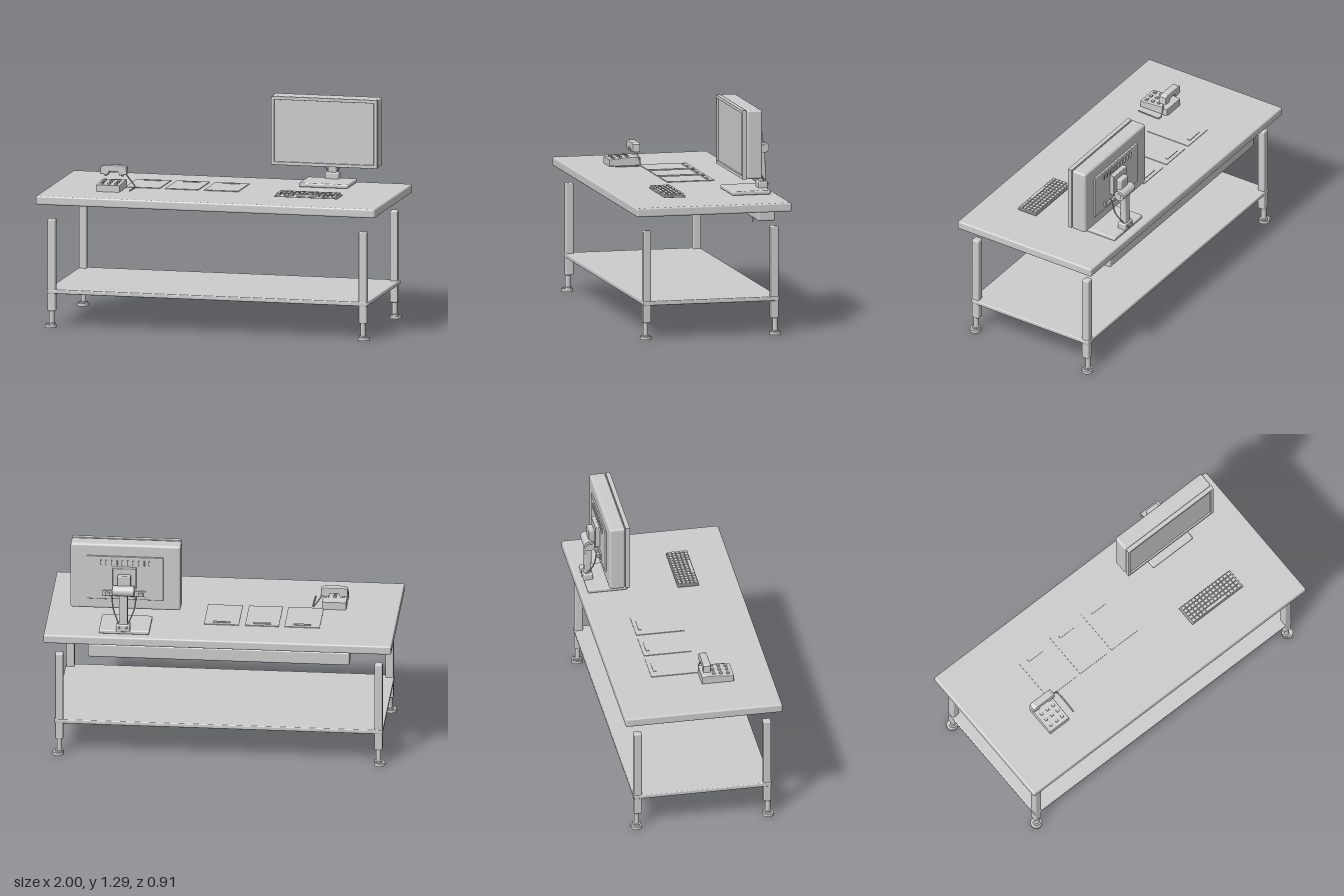
import * as THREE from 'three';
import { RoundedBoxGeometry } from 'three/addons/geometries/RoundedBoxGeometry.js';

export function createModel() {
  const model = new THREE.Group();
  const gray = new THREE.MeshStandardMaterial({ color: 0xcccccc });
  gray.name = 'lightGray';

  const group = (name) => {
    const g = new THREE.Group();
    g.name = name;
    model.add(g);
    return g;
  };
  const add = (parent, name, geometry, x = 0, y = 0, z = 0) => {
    const m = new THREE.Mesh(geometry, gray);
    m.name = name;
    m.position.set(x, y, z);
    parent.add(m);
    return m;
  };
  // Box given by its extents; r rounds the edges
  const box = (parent, name, x0, x1, y0, y1, z0, z1, r = 0) => {
    const s = [x1 - x0, y1 - y0, z1 - z0];
    const geo = r ? new RoundedBoxGeometry(...s, 3, r) : new THREE.BoxGeometry(...s);
    return add(parent, name, geo, (x0 + x1) / 2, (y0 + y1) / 2, (z0 + z1) / 2);
  };
  const tube = (parent, name, points, r) => {
    const curve = new THREE.CatmullRomCurve3(points.map((p) => new THREE.Vector3(...p)));
    return add(parent, name, new THREE.TubeGeometry(curve, 24, r, 6), 0, 0, 0);
  };
  const cylinder = (parent, name, r, h, x, y, z) =>
    add(parent, name, new THREE.CylinderGeometry(r, r, h, 24), x, y, z);

  // Table
  const table = group('table');
  box(table, 'tabletop', -1, 1, 0.72, 0.772, -0.457, 0.457, 0.01);
  box(table, 'shelf', -0.947, 0.943, 0.197, 0.222, -0.4, 0.403, 0.006);
  box(table, 'cableTray', -0.757, 0.746, 0.63, 0.71, -0.423, -0.323, 0.01);
  for (const x of [-0.921, 0.914]) {
    for (const z of [-0.374, 0.379]) {
      box(table, 'leg', x - 0.023, x + 0.023, 0.095, 0.63, z - 0.023, z + 0.023, 0.008);
      cylinder(table, 'legStem', 0.015, 0.2, x, 0.115, z + Math.sign(z) * 0.006);
      cylinder(table, 'footCollar', 0.024, 0.008, x, 0.022, z + Math.sign(z) * 0.006);
      cylinder(table, 'foot', 0.033, 0.018, x + Math.sign(x) * 0.006, 0.009, z + Math.sign(z) * 0.007);
    }
  }

  // Monitor: bezel with inset screen, thick casing
  const monitor = group('monitor');
  const rect = (path, x0, x1, y0, y1) =>
    path.moveTo(x0, y0).lineTo(x1, y0).lineTo(x1, y1).lineTo(x0, y1).closePath();
  const bezel = rect(new THREE.Shape(), 0.228, 0.85, 0.896, 1.29);
  bezel.holes.push(rect(new THREE.Path(), 0.243, 0.835, 0.911, 1.275));
  add(monitor, 'bezel', new THREE.ExtrudeGeometry(bezel, {
    depth: 0.022, bevelThickness: 0.002, bevelSize: 0.002, bevelSegments: 2,
  }), 0, 0, -0.226);
  box(monitor, 'screen', 0.24, 0.838, 0.908, 1.278, -0.226, -0.212);
  box(monitor, 'casing', 0.222, 0.855, 0.892, 1.293, -0.322, -0.23, 0.014);
  box(monitor, 'backPanel', 0.32, 0.76, 0.955, 1.222, -0.331, -0.315, 0.004);
  for (let i = 0; i < 10; i++) {
    const x = 0.4 + i * 0.031;
    box(monitor, 'vent', x - 0.004, x + 0.004, 1.17, 1.2, -0.339, -0.33);
  }
  box(monitor, 'connectorStrip', 0.42, 0.67, 0.978, 1.012, -0.339, -0.33);
  for (const x of [0.45, 0.5, 0.59, 0.64])
    box(monitor, 'connector', x - 0.015, x + 0.015, 0.985, 1.005, -0.356, -0.338, 0.003);

  // Monitor stand
  const stand = group('monitorStand');
  box(stand, 'mountPlate', 0.475, 0.61, 1.03, 1.16, -0.358, -0.33, 0.004);
  box(stand, 'mountBlock', 0.505, 0.58, 1.02, 1.125, -0.39, -0.355, 0.006);
  cylinder(stand, 'hinge', 0.031, 0.124, 0.545, 1.035, -0.39).rotation.z = Math.PI / 2;
  cylinder(stand, 'hingePin', 0.017, 0.132, 0.545, 1.035, -0.39).rotation.z = Math.PI / 2;
  box(stand, 'column', 0.52, 0.57, 0.79, 1.04, -0.411, -0.371, 0.008).rotation.x = 0.03;
  box(stand, 'columnFoot', 0.505, 0.585, 0.79, 0.835, -0.42, -0.365, 0.008);
  box(stand, 'base', 0.395, 0.685, 0.774, 0.798, -0.414, -0.185, 0.008);
  for (const s of [-1, 1])
    tube(stand, 'cable', [[0.545 + s * 0.07, 0.99, -0.35], [0.545 + s * 0.06, 0.91, -0.365],
      [0.545 + s * 0.03, 0.84, -0.4], [0.545 + s * 0.02, 0.815, -0.43]], 0.004);
  tube(stand, 'hangingCable', [[0.547, 0.725, -0.35], [0.547, 0.66, -0.342], [0.547, 0.595, -0.34]], 0.003);

  // Keyboard: five rows of keys, the front one with a space bar
  const keyboard = group('keyboard');
  box(keyboard, 'keyboardPlate', 0.352, 0.724, 0.782, 0.792, 0.1, 0.225, 0.003);
  for (let row = 0; row < 5; row++) {
    const z = 0.116 + row * 0.0235;
    for (let i = 0; i < 14; i++) {
      if (row === 4 && i > 3 && i < 10) continue;
      const x = 0.372 + i * 0.0255;
      box(keyboard, 'key', x - 0.0105, x + 0.0105, 0.79, 0.802, z - 0.0095, z + 0.0095);
    }
  }
  box(keyboard, 'spaceBar', 0.4635, 0.612, 0.79, 0.802, 0.2005, 0.2195);

  // Three paper sheets, each with a raised clip
  const papers = group('papers');
  for (const [x0, x1] of [[-0.569, -0.366], [-0.334, -0.14], [-0.104, 0.096]]) {
    const c = (x0 + x1) / 2;
    box(papers, 'sheet', x0, x1, 0.772, 0.776, -0.227, 0.052);
    box(papers, 'clip', c - 0.05, c + 0.05, 0.775, 0.78, -0.205, -0.188);
  }

  // Telephone: sloped body, keys, raised handset and cord
  const phone = group('telephone');
  const side = new THREE.Shape().moveTo(-0.225, 0.777).lineTo(-0.05, 0.777)
    .lineTo(-0.05, 0.812).lineTo(-0.085, 0.817).lineTo(-0.225, 0.806);
  const body = add(phone, 'phoneBody', new THREE.ExtrudeGeometry(side, {
    depth: 0.13, bevelThickness: 0.005, bevelSize: 0.005, bevelSegments: 2,
  }), -0.565, 0, 0);
  body.rotation.y = Math.PI / 2;
  body.position.x = -0.694;
  for (const x of [-0.67, -0.628, -0.586])
    for (const z of [0.117, 0.158, 0.2])
      box(phone, 'phoneKey', x - 0.008, x + 0.008, 0.808, 0.828 - (z - 0.117) * 0.08, z - 0.008, z + 0.008);
  const arch = new THREE.Shape().moveTo(-0.705, 0.856).lineTo(-0.667, 0.85).lineTo(-0.657, 0.872)
    .lineTo(-0.603, 0.872).lineTo(-0.593, 0.85).lineTo(-0.555, 0.856).lineTo(-0.558, 0.892)
    .lineTo(-0.575, 0.899).lineTo(-0.685, 0.899).lineTo(-0.702, 0.892);
  add(phone, 'handset', new THREE.ExtrudeGeometry(arch, {
    depth: 0.034, bevelThickness: 0.005, bevelSize: 0.004, bevelSegments: 2,
  }), 0, 0, 0.055);
  for (const x of [-0.68, -0.58]) cylinder(phone, 'handsetPeg', 0.008, 0.008, x, 0.842, 0.07);
  tube(phone, 'cord', [[-0.56, 0.85, 0.07], [-0.535, 0.815, 0.06], [-0.51, 0.782, 0.062],
    [-0.507, 0.779, 0.13], [-0.51, 0.779, 0.21]], 0.004);

  return model;
}
